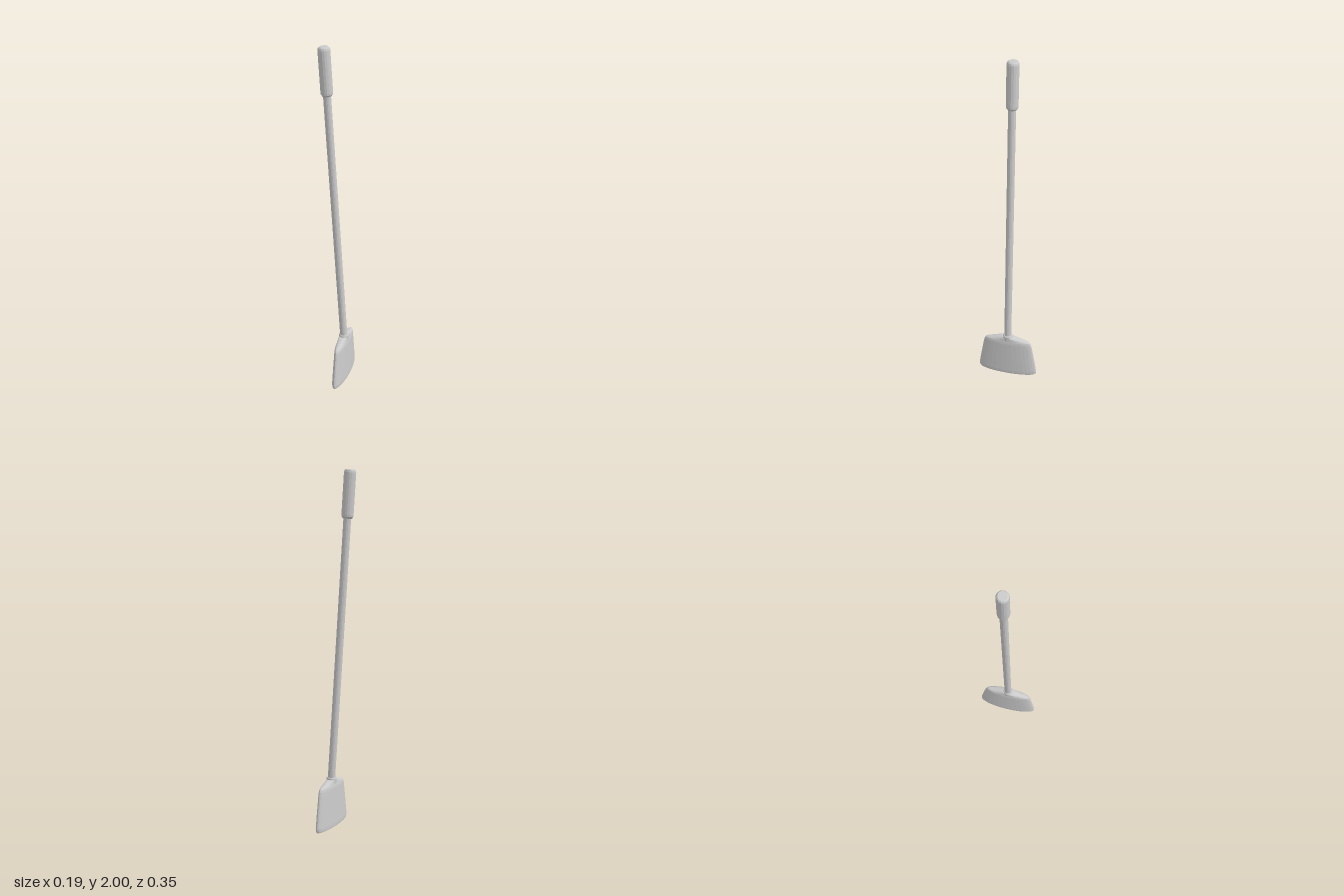
import * as THREE from 'three';

const material = new THREE.MeshStandardMaterial({ color: 0xcccccc, flatShading: true });

// Closed skin over elliptical rings [y, radiusX, radiusZ], listed from bottom to top
function loft(name, rings, sides) {
  const pos = [], index = [];
  const all = [[rings[0][0], 0, 0], ...rings, [rings.at(-1)[0], 0, 0]];
  for (const [y, rx, rz] of all) {
    for (let j = 0; j < sides; j++) {
      const a = (j / sides) * Math.PI * 2;
      pos.push(rx * Math.cos(a), y, rz * Math.sin(a));
    }
  }
  for (let i = 0; i < all.length - 1; i++) {
    for (let j = 0; j < sides; j++) {
      const k = (j + 1) % sides;
      const a = i * sides + j, b = i * sides + k, c = a + sides, d = b + sides;
      if (i < all.length - 2) index.push(a, c, d);
      if (i > 0) index.push(a, d, b);
    }
  }
  const g = new THREE.BufferGeometry();
  g.setAttribute('position', new THREE.Float32BufferAttribute(pos, 3));
  g.setIndex(index);
  g.computeVertexNormals();
  const mesh = new THREE.Mesh(g, material);
  mesh.name = name;
  return mesh;
}

const round = (profile) => profile.map(([y, r]) => [y, r, r]);

export function createModel() {
  const model = new THREE.Group();
  model.name = 'broom';

  // Flattened head, flaring to the floor with sloping shoulders
  const head = new THREE.Group();
  head.name = 'head';
  head.position.x = 0.054;
  head.add(loft('bristles', [
    [0, 0.036, 0.171],
    [0.006, 0.037, 0.175],
    [0.022, 0.0375, 0.177],
    [0.1, 0.035, 0.165],
    [0.2, 0.031, 0.148],
    [0.225, 0.03, 0.142],
    [0.239, 0.028, 0.134],
    [0.245, 0.0265, 0.122],
    [0.268, 0.025, 0.034],
  ], 32));
  // Collar where the shaft enters the head
  head.add(loft('collar', round([[0.245, 0.028], [0.274, 0.028], [0.28, 0.025]]), 16));
  model.add(head);

  // Leaning handle
  const handle = new THREE.Group();
  handle.name = 'handle';
  handle.position.set(0.054, 0.265, 0);
  handle.rotation.z = 0.067;
  handle.add(loft('shaft', round([[0, 0.021], [1.5, 0.021]]), 16));
  handle.add(loft('grip', round([
    [1.475, 0.025], [1.485, 0.032], [1.495, 0.033],
    [1.72, 0.033], [1.731, 0.03], [1.737, 0.024],
  ]), 16));
  model.add(handle);

  return model;
}
